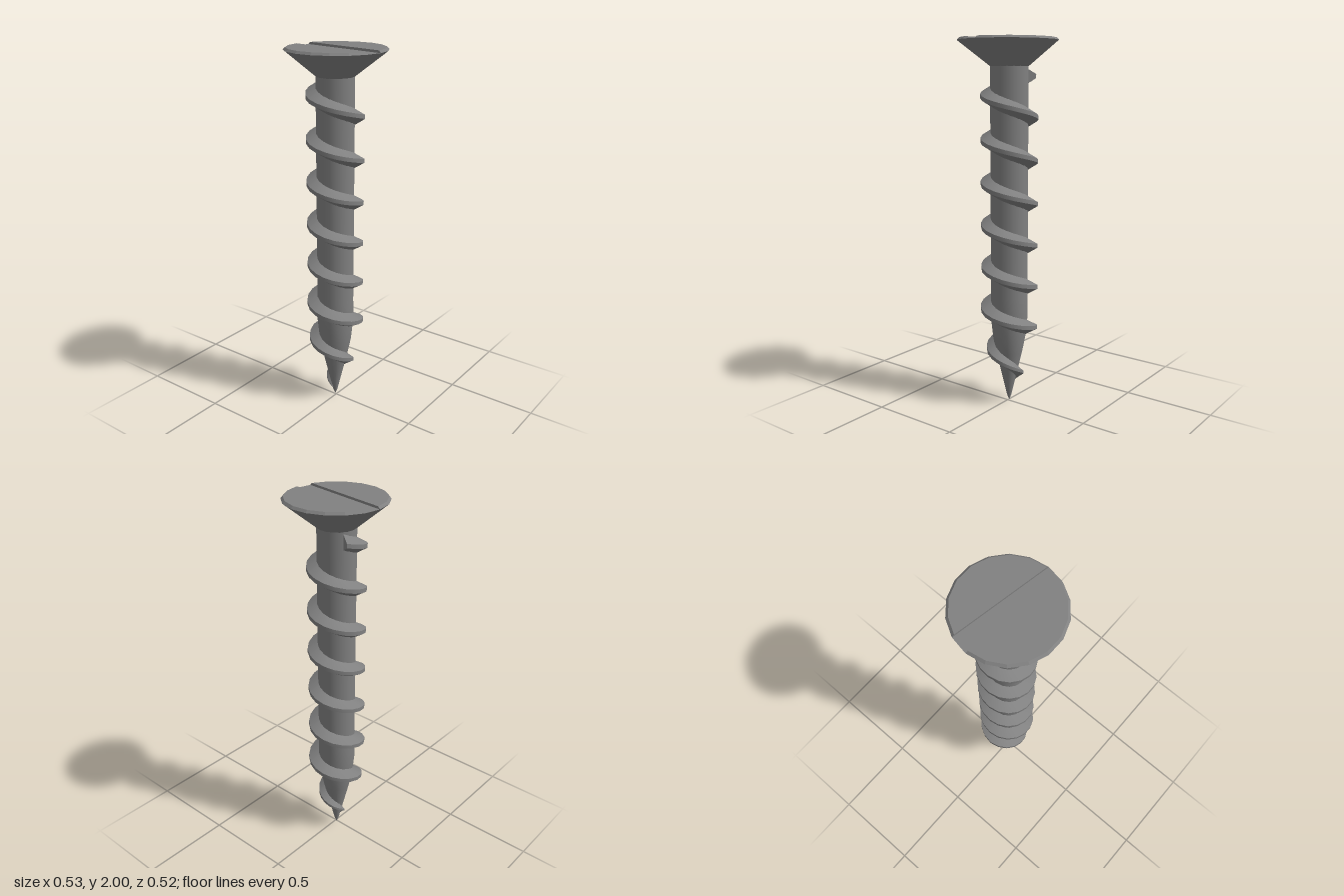
import * as THREE from 'three';
import { toCreasedNormals } from 'three/addons/utils/BufferGeometryUtils.js';

const SIDES = 18;
const AXIS_X = -0.009, AXIS_Z = -0.004; // shank sits slightly off the head's centre
const rad = THREE.MathUtils.degToRad;

// Linear interpolation in a sorted list of [key, value] pairs
function lerpTable(table, k) {
  if (k <= table[0][0]) return table[0][1];
  for (let i = 1; i < table.length; i++) {
    const [k0, v0] = table[i - 1], [k1, v1] = table[i];
    if (k <= k1) return v0 + (v1 - v0) * (k - k0) / (k1 - k0);
  }
  return table[table.length - 1][1];
}

// Shank radius by height
const SHANK = [[0, 0], [0.03, 0.012], [0.17, 0.045], [0.29, 0.073], [0.37, 0.089],
  [0.5, 0.103], [0.62, 0.101], [1.87, 0.101]];

// Thread height and crest radius by angle over the tapering last turns
const THREAD_Y = [[-620, 0.05], [-540, 0.12], [-450, 0.19], [-360, 0.265], [-270, 0.335],
  [-180, 0.4], [-90, 0.457], [0, 0.515]];
const THREAD_R = [[-620, 0.02], [-540, 0.062], [-450, 0.09], [-360, 0.114], [-270, 0.134],
  [-180, 0.155], [0, 0.159], [180, 0.157], [360, 0.154]];

function fromTriangles(pos) {
  const g = new THREE.BufferGeometry();
  g.setAttribute('position', new THREE.Float32BufferAttribute(pos, 3));
  g.computeVertexNormals();
  return g;
}

// Helical ridge with a trapezoid section, capped at both ends
function threadGeometry() {
  const start = -620, end = 2011, steps = Math.round((end - start) / 20);
  const rings = [];
  for (let i = 0; i <= steps; i++) {
    const d = start + (end - start) * i / steps, a = rad(d);
    const y = d > 0 ? 0.515 + 0.231 * d / 360 : lerpTable(THREAD_Y, d);
    const crest = lerpTable(THREAD_R, d);
    const root = Math.max(lerpTable(SHANK, y) - 0.012, 0.002);
    const k = Math.min(1, crest / 0.12);
    const section = [[root, -0.046], [crest, -0.011], [crest, 0.011], [root, 0.046]];
    rings.push(section.map(([r, h]) => [r * Math.cos(a), y + h * k, r * Math.sin(a)]));
  }
  const pos = [];
  const quad = (a, b, c, d) => pos.push(...a, ...b, ...c, ...a, ...c, ...d);
  for (let i = 0; i < steps; i++) {
    const p = rings[i], q = rings[i + 1];
    for (let j = 0; j < 3; j++) quad(p[j], p[j + 1], q[j + 1], q[j]);
  }
  const [s, e] = [rings[0], rings[steps]];
  quad(s[3], s[2], s[1], s[0]);
  quad(e[0], e[1], e[2], e[3]);
  return toCreasedNormals(fromTriangles(pos), 0.5);
}

// Raised half of the head's top, bevelled at the rim, with a straight slot wall
function padGeometry() {
  const y0 = 1.988, y1 = 2, R = 0.266, r = 0.254;
  const low = [], top = [];
  for (let d = 200; d <= 360; d += 20) {
    const c = Math.cos(rad(d)), s = Math.sin(rad(d));
    low.push([R * c, y0, R * s]);
    top.push([r * c, y1, r * s]);
  }
  // the two end corners slide along the slot edge
  const n = low.length, inset = 0.012;
  const dx = inset * Math.cos(rad(10)), dz = inset * Math.sin(rad(10));
  top[0] = [low[0][0] + dx, y1, low[0][2] + dz];
  top[n - 1] = [low[n - 1][0] - dx, y1, low[n - 1][2] - dz];
  const pos = [];
  for (let i = 0; i < n; i++) {
    const j = (i + 1) % n;
    pos.push(...low[i], ...top[i], ...top[j], ...low[i], ...top[j], ...low[j]);
    if (i > 0 && i < n - 1) pos.push(...top[0], ...top[j], ...top[i]);
  }
  return fromTriangles(pos);
}

// Countersunk cone whose lower end meets the shank
function headGeometry() {
  let g = new THREE.CylinderGeometry(0.266, 0.101, 0.133, SIDES);
  g.rotateY(Math.PI / 2);
  g.translate(0, 1.988 - 0.0665, 0);
  const p = g.attributes.position;
  for (let i = 0; i < p.count; i++) {
    if (p.getY(i) < 1.9) p.setXYZ(i, p.getX(i) + AXIS_X, p.getY(i), p.getZ(i) + AXIS_Z);
  }
  g = g.toNonIndexed();
  g.computeVertexNormals();
  return g;
}

export function createModel() {
  const steel = new THREE.MeshStandardMaterial({ color: 0x808080 });
  steel.name = 'steel grey';
  const model = new THREE.Group();
  model.name = 'screw';
  const add = (name, geometry, parent) => {
    const mesh = new THREE.Mesh(geometry, steel);
    mesh.name = name;
    parent.add(mesh);
    return mesh;
  };

  // Shank with pointed tip, and its thread
  const body = new THREE.Group();
  body.name = 'body';
  body.position.set(AXIS_X, 0, AXIS_Z);
  model.add(body);
  const profile = SHANK.map(([y, r]) => new THREE.Vector2(r, y));
  add('shank', new THREE.LatheGeometry(profile, SIDES), body);
  add('thread', threadGeometry(), body);

  // Head with a shallow slot between two raised halves
  const head = new THREE.Group();
  head.name = 'head';
  model.add(head);
  add('headCone', headGeometry(), head);
  const pad = padGeometry();
  add('headTopBack', pad, head);
  add('headTopFront', pad, head).rotation.y = Math.PI;

  return model;
}
